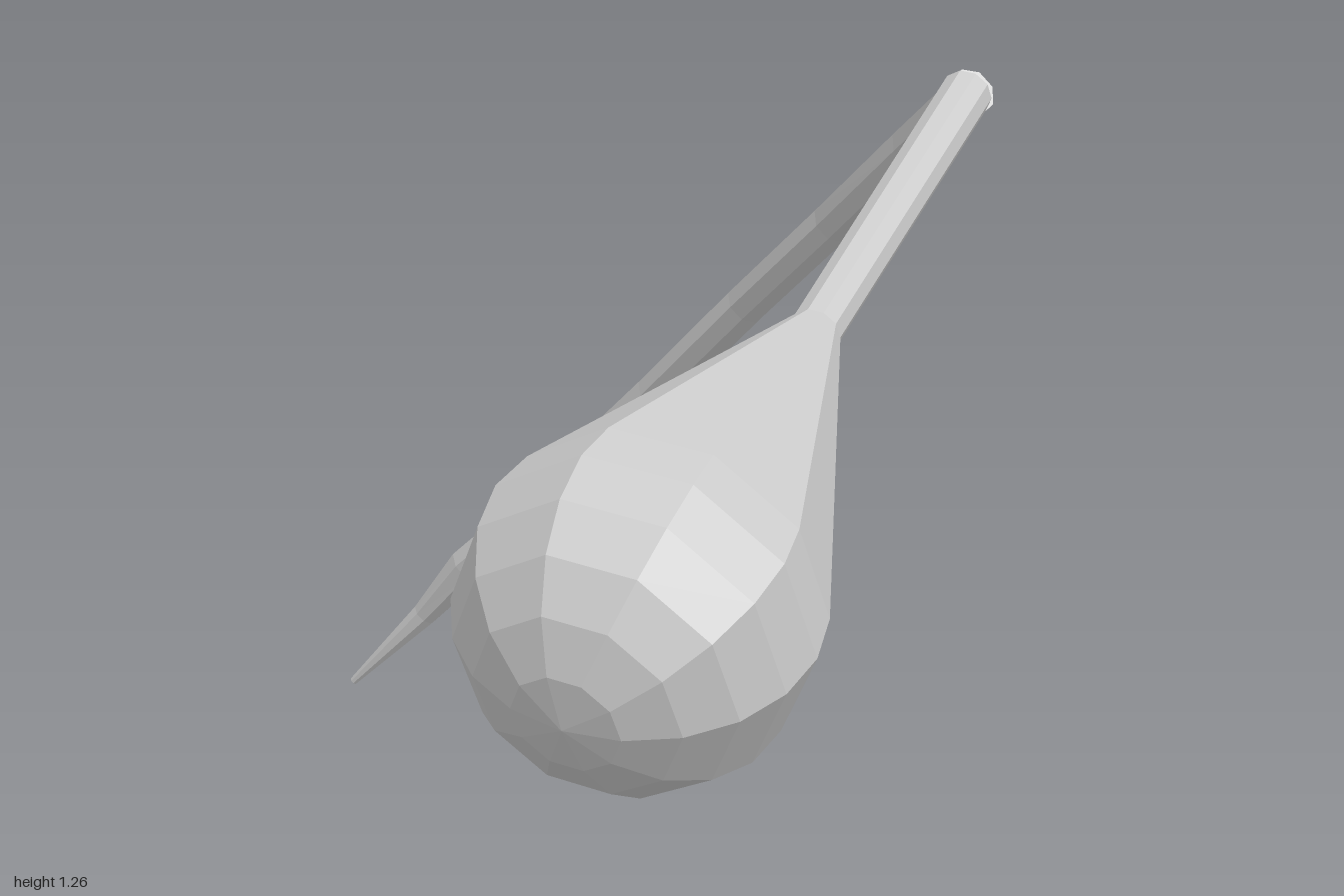
import * as THREE from 'three';

const material = new THREE.MeshStandardMaterial({ color: 0xcccccc, flatShading: true });

// Lofts a capped, many-sided skin through rings { p: centre, r: radius }.
// ref sets the twist: the first corner of each ring lies along tangent x ref.
function loft(name, rings, sides, ref) {
  const positions = [];
  const index = [];
  rings.forEach(({ p, r }, i) => {
    const before = rings[Math.max(i - 1, 0)].p;
    const after = rings[Math.min(i + 1, rings.length - 1)].p;
    const t = after.clone().sub(before).normalize();
    const u = t.clone().cross(ref).normalize();
    const v = t.clone().cross(u);
    for (let j = 0; j < sides; j++) {
      const a = (j / sides) * Math.PI * 2;
      const q = p.clone().addScaledVector(u, r * Math.cos(a)).addScaledVector(v, r * Math.sin(a));
      positions.push(q.x, q.y, q.z);
    }
  });
  const last = rings.length - 1;
  const startCap = rings.length * sides;
  for (const { p } of [rings[0], rings[last]]) positions.push(p.x, p.y, p.z);
  for (let j = 0; j < sides; j++) {
    const k = (j + 1) % sides;
    for (let i = 0; i < last; i++) {
      const a = i * sides + j, b = i * sides + k;
      index.push(a, b, b + sides, a, b + sides, a + sides);
    }
    index.push(startCap, k, j);
    index.push(startCap + 1, last * sides + j, last * sides + k);
  }
  const geometry = new THREE.BufferGeometry();
  geometry.setAttribute('position', new THREE.Float32BufferAttribute(positions, 3));
  geometry.setIndex(index);
  geometry.computeVertexNormals();
  const mesh = new THREE.Mesh(geometry, material);
  mesh.name = name;
  return mesh;
}

export function createModel() {
  const group = new THREE.Group();
  group.name = 'jointedLimb';

  // Upper limb: thin rod, flaring neck and a rounded bulb on one straight axis
  const joint = new THREE.Vector3(0.36, 1.232, -0.53);
  const centre = new THREE.Vector3(0.79, 0.802, 0.442);
  const axis = centre.clone().sub(joint).normalize();
  const length = centre.distanceTo(joint);
  const R = 0.221;
  const at = (s, r) => ({ p: joint.clone().addScaledVector(axis, s), r });
  const rings = [at(0, 0.036), at(length * 0.505, 0.034)];
  for (let deg = -18; deg <= 72; deg += 18) {
    const a = THREE.MathUtils.degToRad(deg);
    rings.push(at(length + R * Math.sin(a), R * Math.cos(a)));
  }
  rings.push(at(length + R, 0.0005));
  group.add(loft('bulbLimb', rings, 10, new THREE.Vector3(1, 0, 0)));

  // Lower limb: bowed shaft that narrows to a pointed tip; x, y, z, radius
  const shaft = [
    [0.36, 1.232, -0.54, 0.035],
    [0.21, 1.128, -0.582, 0.034],
    [0.02, 0.98, -0.616, 0.034],
    [-0.18, 0.815, -0.63, 0.034],
    [-0.38, 0.632, -0.624, 0.034],
    [-0.58, 0.45, -0.608, 0.034],
    [-0.71, 0.325, -0.588, 0.034],
    [-0.785, 0.253, -0.565, 0.035],
    [-0.87, 0.15, -0.535, 0.022],
    [-0.995, 0.006, -0.473, 0.007],
  ].map(([x, y, z, r]) => ({ p: new THREE.Vector3(x, y, z), r }));
  group.add(loft('pointedLimb', shaft, 8, new THREE.Vector3(0, 0, 1)));

  return group;
}
